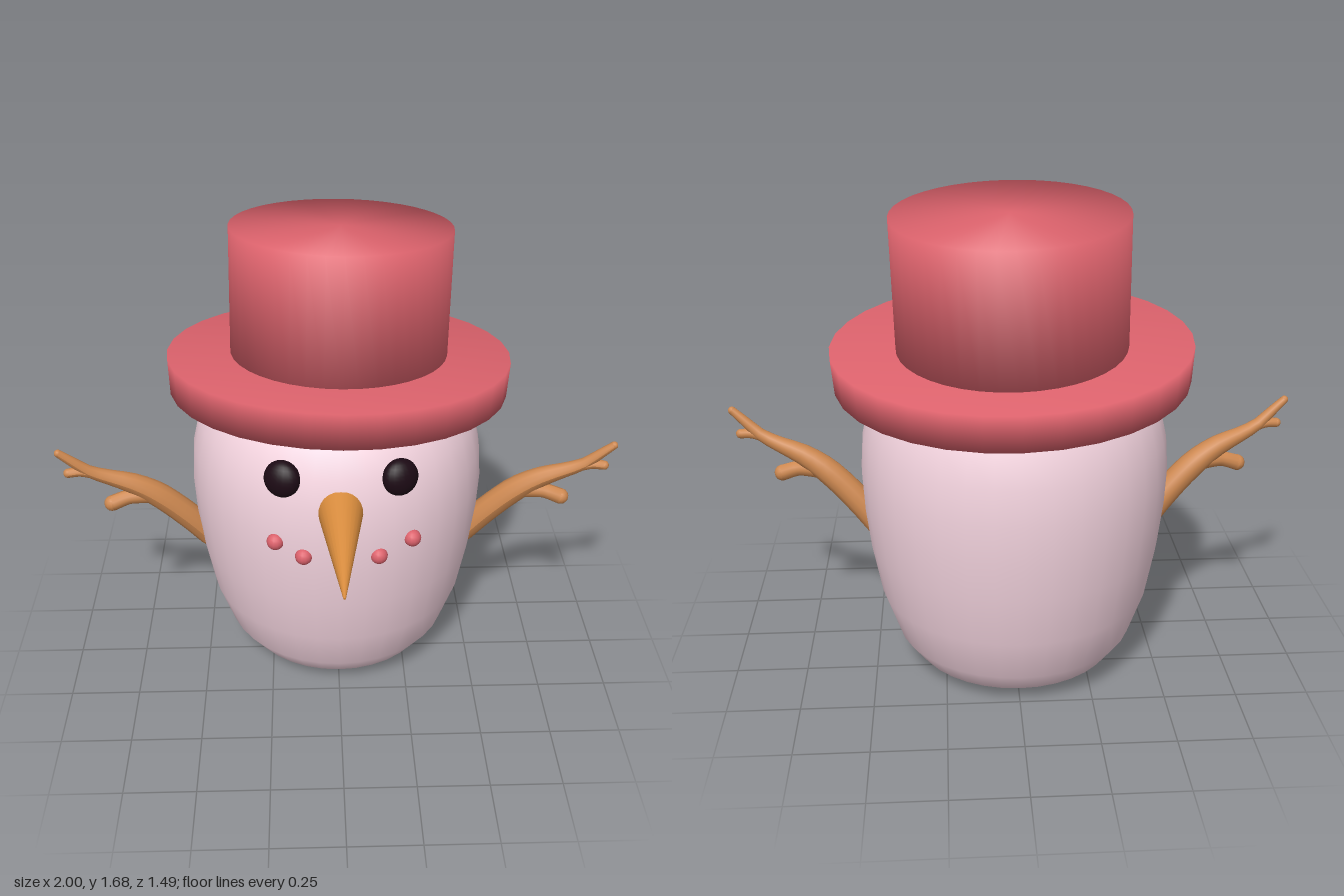
import * as THREE from 'three';

const mat = (color) => new THREE.MeshStandardMaterial({ color });
const snow = mat(0xf3d3de), red = mat(0xdc626c), carrot = mat(0xd68a3c);
const wood = mat(0xcd8850), coal = mat(0x1c0a14);

const V = (p) => new THREE.Vector3(...p);
const lathe = (pts, segs) =>
  new THREE.LatheGeometry(pts.map((p) => new THREE.Vector2(...p)), segs);

function add(parent, name, geometry, material, pos = [0, 0, 0]) {
  const mesh = new THREE.Mesh(geometry, material);
  mesh.name = name;
  mesh.position.set(...pos);
  parent.add(mesh);
  return mesh;
}

// Tapered branch: points are [x, y, z, radius]; ends closed with small spheres
function branch(parent, name, pts, rings = 16, sides = 12) {
  const curve = new THREE.CatmullRomCurve3(pts.map((p) => V(p.slice(0, 3))));
  const geo = new THREE.TubeGeometry(curve, rings, 1, sides);
  const pos = geo.attributes.position;
  const v = new THREE.Vector3();
  // radius follows the control points, by matching each ring's curve parameter
  for (let i = 0; i <= rings; i++) {
    const t = curve.getUtoTmapping(i / rings) * (pts.length - 1);
    const k = Math.min(Math.floor(t), pts.length - 2);
    const r = THREE.MathUtils.lerp(pts[k][3], pts[k + 1][3], t - k);
    const c = curve.getPointAt(i / rings);
    for (let j = 0; j <= sides; j++) {
      const n = i * (sides + 1) + j;
      v.fromBufferAttribute(pos, n).sub(c).multiplyScalar(r).add(c);
      pos.setXYZ(n, v.x, v.y, v.z);
    }
  }
  geo.computeVertexNormals();
  add(parent, name, geo, wood);
  for (const p of [pts[0], pts[pts.length - 1]])
    add(parent, name + 'End', new THREE.SphereGeometry(p[3], 12, 8), wood, p.slice(0, 3));
}

export function createModel() {
  const model = new THREE.Group();
  model.name = 'snowman';

  // Barrel-shaped body, widest above the middle
  add(model, 'body', lathe([
    [0, 0], [0.2, 0.006], [0.275, 0.02], [0.36, 0.06], [0.42, 0.14], [0.475, 0.3],
    [0.508, 0.48], [0.524, 0.62], [0.53, 0.75], [0.521, 0.87], [0.495, 0.98],
    [0.445, 1.07], [0.37, 1.13], [0.2, 1.17], [0, 1.18],
  ], 36), snow, [0, 0, -0.148]);

  // Top hat, leaning back and slightly to one side
  const hat = new THREE.Group();
  hat.name = 'hat';
  hat.position.set(0.007, 1.075, -0.163);
  hat.rotation.set(-0.095, 0, -0.022);
  model.add(hat);
  const brim = add(hat, 'brim', lathe([[0, 0], [0.6, 0], [0.607, 0.125], [0, 0.125]], 32), red);
  brim.scale.z = 0.945;
  add(hat, 'crown', lathe([[0, 0.1], [0.386, 0.1], [0.386, 0.57], [0, 0.57]], 40), red, [0, 0, -0.025]);

  // Carrot nose, drooping a little
  const root = V([0, 0.87, 0.32]), tip = V([0, 0.805, 0.742]);
  const dir = tip.clone().sub(root);
  const nose = add(model, 'nose', new THREE.CylinderGeometry(0.004, 0.083, dir.length(), 24, 1),
    carrot, root.clone().add(tip).multiplyScalar(0.5).toArray());
  nose.quaternion.setFromUnitVectors(V([0, 1, 0]), dir.normalize());

  // Eyes, flattened against the face
  for (const s of [-1, 1]) {
    const eye = add(model, s > 0 ? 'leftEye' : 'rightEye',
      new THREE.SphereGeometry(0.064, 20, 14), coal, [0.195 * s + 0.003, 0.97, 0.308]);
    eye.scale.set(1, 1, 0.65);
    eye.rotation.set(-0.2, 0.4 * s, 0, 'YXZ');
  }

  // Smile made of small beads
  for (const [x, y, z] of [[-0.22, 0.735, 0.33], [-0.125, 0.693, 0.36], [0, 0.68, 0.373],
    [0.13, 0.69, 0.358], [0.245, 0.735, 0.322]])
    add(model, 'mouthBead', new THREE.SphereGeometry(0.03, 14, 10), red, [x, y, z]);

  // Twig arms, mirrored
  for (const s of [-1, 1]) {
    const arm = new THREE.Group();
    arm.name = s > 0 ? 'leftArm' : 'rightArm';
    model.add(arm);
    const limb = (name, pts) => branch(arm, name, pts.map(([x, y, z, r]) => [x * s, y, z, r]));
    limb('armBranch', [[0.48, 0.49, -0.085, 0.046], [0.56, 0.59, -0.068, 0.048],
      [0.66, 0.69, -0.05, 0.046], [0.74, 0.745, -0.036, 0.038], [0.83, 0.785, -0.022, 0.027],
      [0.89, 0.815, -0.01, 0.022], [0.94, 0.86, 0, 0.018], [0.987, 0.902, 0.008, 0.014]]);
    limb('lowerTwig', [[0.68, 0.695, -0.045, 0.035], [0.76, 0.692, -0.03, 0.027],
      [0.822, 0.672, -0.02, 0.029]]);
    limb('upperTwig', [[0.87, 0.805, -0.012, 0.02], [0.92, 0.818, -0.004, 0.018],
      [0.962, 0.816, 0.002, 0.017]]);
  }
  return model;
}
